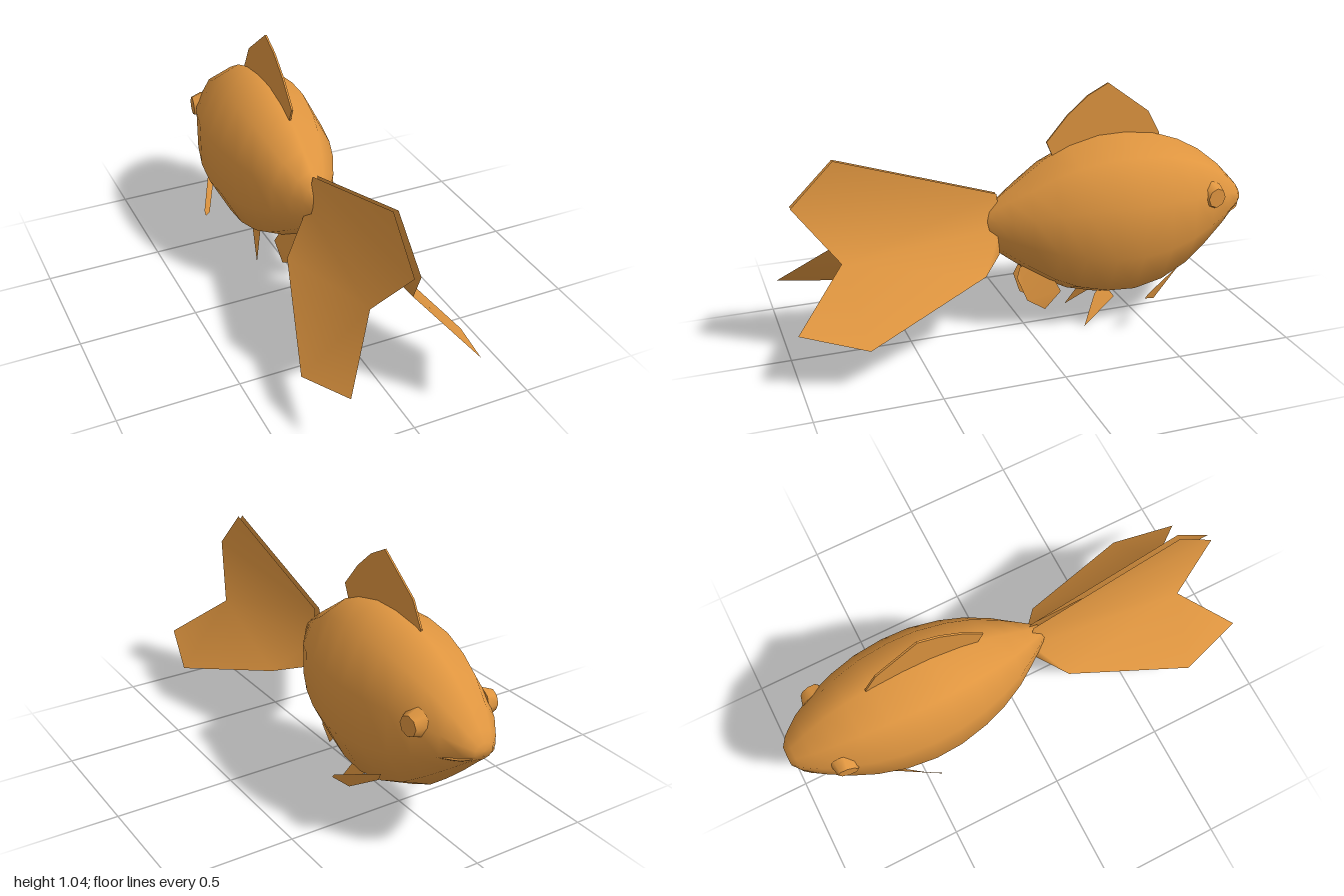
import * as THREE from 'three';

const orange = new THREE.MeshStandardMaterial({ color: 0xe09640, side: THREE.DoubleSide });
orange.name = 'goldfish orange';

function addMesh(group, name, geometry) {
  const mesh = new THREE.Mesh(geometry, orange);
  mesh.name = name;
  group.add(mesh);
  return mesh;
}

function meshGeometry(points, index) {
  const g = new THREE.BufferGeometry();
  g.setAttribute('position', new THREE.Float32BufferAttribute(points.flat(), 3));
  g.setIndex(index);
  g.computeVertexNormals();
  return g;
}

// Ten-sided body lofted through rings: z, bottom, top, half width
function bodyGeometry() {
  const rings = [
    [-1, 0.475, 0.475, 0], [-0.998, 0.445, 0.51, 0.04], [-0.97, 0.42, 0.55, 0.075],
    [-0.9, 0.352, 0.625, 0.125], [-0.8, 0.262, 0.705, 0.175], [-0.7, 0.182, 0.76, 0.21],
    [-0.58, 0.122, 0.803, 0.238], [-0.45, 0.094, 0.82, 0.25], [-0.33, 0.102, 0.818, 0.245],
    [-0.2, 0.138, 0.787, 0.22], [-0.1, 0.19, 0.742, 0.188], [0, 0.263, 0.672, 0.142],
    [0.08, 0.325, 0.617, 0.09], [0.13, 0.365, 0.58, 0.055], [0.17, 0.425, 0.547, 0.028],
    [0.205, 0.5, 0.5, 0],
  ];
  const sides = 10, points = [], index = [];
  rings.forEach(([z, low, high, half], i) => {
    for (let j = 0; j < sides; j++) {
      const a = (j / sides) * Math.PI * 2;
      points.push([Math.sin(a) * half / 0.951, (low + high) / 2 + Math.cos(a) * (high - low) / 2, z]);
      if (i === rings.length - 1) continue;
      const p = i * sides + j, q = i * sides + (j + 1) % sides;
      index.push(p, p + sides, q, q, p + sides, q + sides);
    }
  });
  return meshGeometry(points, index);
}

// Paired fins: x, y, z corners on the left side, and triangles
const pairedFins = {
  TailFin: {
    points: [
      [0.01, 0.615, 0.12], [0.01, 0.833, 0.785], [0.013, 0.658, 0.96], [0.09, 0.433, 0.787],
      [0.27, 0.24, 1], [0.345, 0.168, 0.74], [0.17, 0.325, 0.22], [0.04, 0.355, 0.12], [0.03, 0.47, 0.11],
    ],
    index: [0, 2, 1, 0, 3, 2, 0, 8, 3, 8, 6, 3, 8, 7, 6, 6, 5, 3, 3, 5, 4],
  },
  AnalFin: {
    points: [[0.015, 0.275, 0.02], [0.025, 0.23, 0.037], [0.05, 0.13, 0], [0.062, 0.083, -0.077], [0.07, 0.16, -0.145], [0.03, 0.3, -0.08]],
    index: [0, 2, 1, 0, 5, 2, 5, 4, 2, 4, 3, 2],
  },
  PelvicFin: {
    points: [[0.118, 0, -0.237], [0.072, 0.125, -0.3], [0.05, 0.16, -0.35], [0.075, 0.1, -0.39]],
    index: [0, 1, 3, 1, 2, 3],
  },
  PectoralFin: {
    points: [[0.19, 0.26, -0.64], [0.28, 0.192, -0.455], [0.28, 0.173, -0.44], [0.24, 0.148, -0.5], [0.18, 0.215, -0.61]],
    index: [0, 1, 2, 0, 2, 3, 0, 3, 4],
  },
};

export function createModel() {
  const fish = new THREE.Group();
  fish.name = 'goldfish';
  addMesh(fish, 'body', bodyGeometry());

  // Dorsal fin, drawn in (z, y)
  const outline = [[-0.13, 0.74], [-0.1, 0.81], [-0.19, 0.915], [-0.28, 0.992], [-0.37, 1.038], [-0.556, 0.9], [-0.61, 0.8], [-0.6, 0.74]];
  const dorsal = new THREE.ExtrudeGeometry(
    new THREE.Shape(outline.map(([z, y]) => new THREE.Vector2(z, y))), { depth: 0.008, bevelEnabled: false });
  dorsal.rotateY(-Math.PI / 2).translate(0.004, 0, 0);
  addMesh(fish, 'dorsalFin', dorsal);

  for (const side of [1, -1]) {
    const label = side > 0 ? 'left' : 'right';

    // Tail, anal, pelvic and pectoral fins
    for (const [name, { points, index }] of Object.entries(pairedFins)) {
      addMesh(fish, label + name, meshGeometry(points.map(([x, y, z]) => [x * side, y, z]), index));
    }

    // Eye: shallow eight-sided dome on the cheek
    const eye = addMesh(fish, label + 'Eye', new THREE.CylinderGeometry(0.042, 0.062, 0.05, 8));
    eye.rotation.set(0, side * 0.14, -side * Math.PI / 2, 'YXZ');
    eye.position.set(side * 0.168, 0.543, -0.8);
  }

  // Thin lip following the snout
  const lip = new THREE.CatmullRomCurve3(
    [[-0.123, 0.44, -0.89], [-0.07, 0.446, -0.965], [0, 0.456, -0.995], [0.07, 0.446, -0.965], [0.123, 0.44, -0.89]]
      .map((p) => new THREE.Vector3(...p)));
  addMesh(fish, 'mouth', new THREE.TubeGeometry(lip, 12, 0.005, 4));
  return fish;
}
